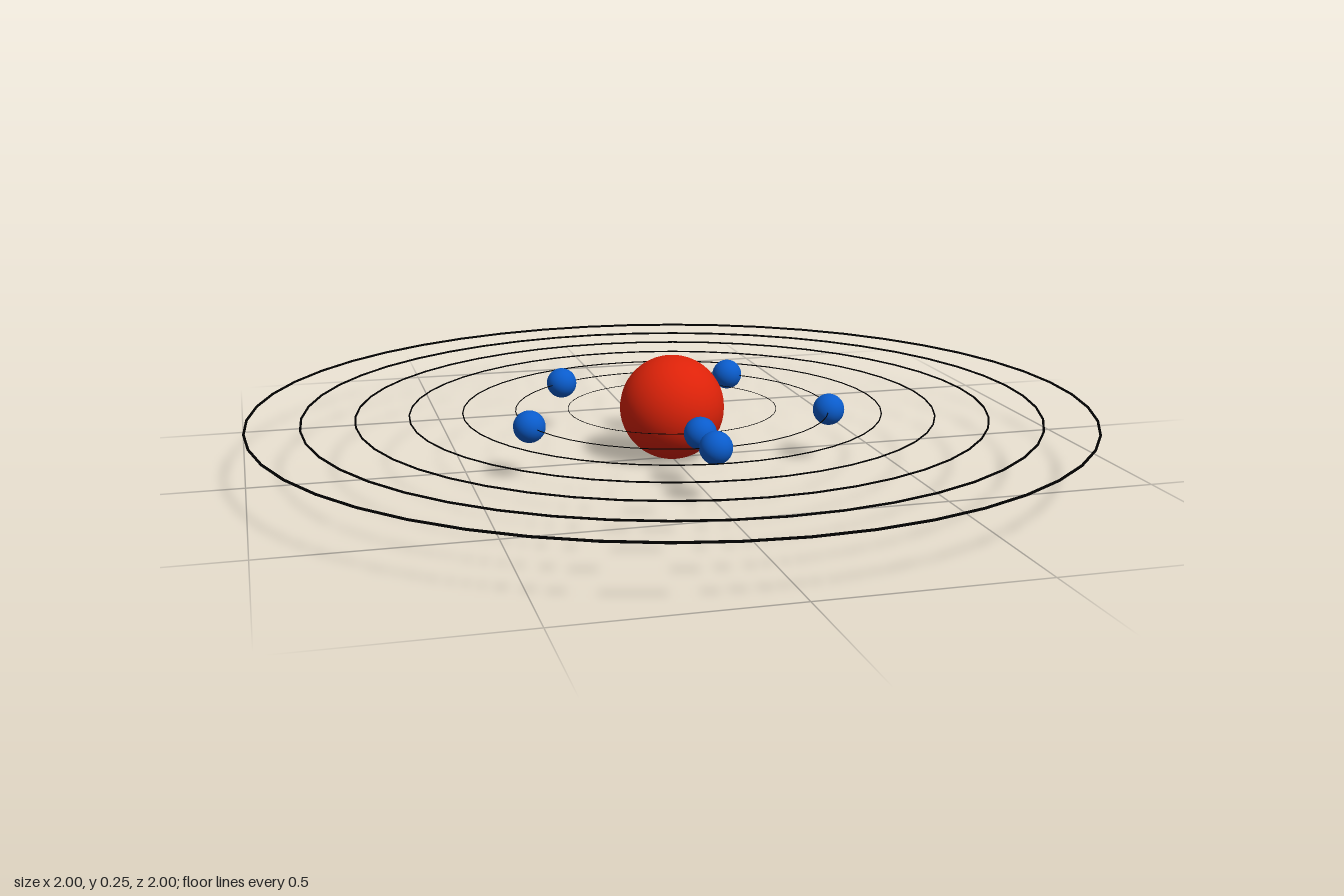
import * as THREE from 'three';

const CENTER_Y = 0.125;

function addMesh(parent, name, geometry, material, x = 0, y = 0, z = 0) {
  const mesh = new THREE.Mesh(geometry, material);
  mesh.name = name;
  mesh.position.set(x, y, z);
  parent.add(mesh);
  return mesh;
}

export function createModel() {
  const model = new THREE.Group();
  model.name = 'atomModel';
  const red = new THREE.MeshStandardMaterial({ color: 0xdd2209 });
  const blue = new THREE.MeshStandardMaterial({ color: 0x0a5ccc });
  const black = new THREE.MeshStandardMaterial({ color: 0x000000 });

  // Nucleus
  addMesh(model, 'nucleus', new THREE.SphereGeometry(0.125, 32, 24), red, 0, CENTER_Y, 0);

  // Seven evenly spaced orbit rings, wire thickness growing with the radius
  const orbits = new THREE.Group();
  orbits.name = 'orbits';
  model.add(orbits);
  for (let i = 0; i < 7; i++) {
    const radius = 0.25 + i * 0.125;
    const tube = 0.003 * radius;
    const ring = addMesh(orbits, `orbit${i + 1}`,
      new THREE.TorusGeometry(radius - tube, tube, 8, 48), black, 0, CENTER_Y, 0);
    ring.rotation.x = Math.PI / 2;
  }

  // Electrons as [x, z]: two on the first orbit, five on the second
  const electrons = new THREE.Group();
  electrons.name = 'electrons';
  model.add(electrons);
  const electronGeometry = new THREE.SphereGeometry(0.0375, 24, 16);
  const places = [
    [0, -0.25], [0, 0.25],
    [0, 0.375], [0.355, 0.118], [0.227, -0.299], [-0.208, -0.312], [-0.363, 0.094],
  ];
  places.forEach(([x, z], i) =>
    addMesh(electrons, `electron${i + 1}`, electronGeometry, blue, x, CENTER_Y, z));

  return model;
}
